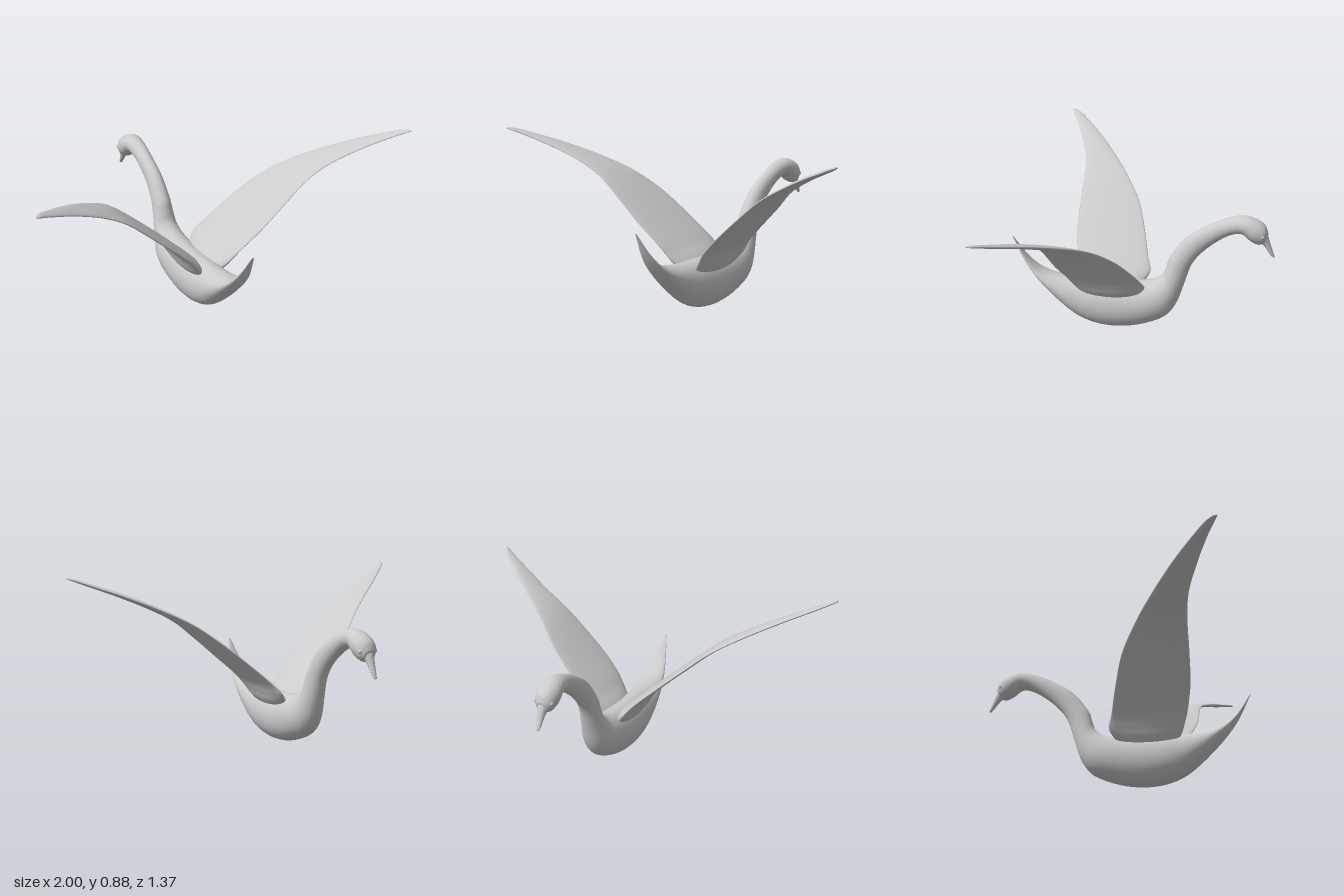
import * as THREE from 'three';

const V = (x, y, z) => new THREE.Vector3(x, y, z);
const material = new THREE.MeshStandardMaterial({ color: 0xcccccc });

// Smooth closed skin over elliptical sections { c: centre, u, v: half axes }.
function loft(sections, steps, sides) {
  const curve = key => new THREE.CatmullRomCurve3(sections.map(s => s[key]), false, 'catmullrom', 0.5);
  const [centres, us, vs] = [curve('c'), curve('u'), curve('v')];
  const position = [], index = [];
  for (let i = 0; i <= steps; i++) {
    const t = i / steps;
    const c = centres.getPoint(t), u = us.getPoint(t), v = vs.getPoint(t);
    for (let j = 0; j < sides; j++) {
      const a = (j / sides) * Math.PI * 2;
      const p = c.clone().addScaledVector(u, Math.cos(a)).addScaledVector(v, Math.sin(a));
      position.push(p.x, p.y, p.z);
    }
  }
  for (let i = 0; i < steps; i++) {
    for (let j = 0; j < sides; j++) {
      const k = (j + 1) % sides;
      const a = i * sides + j, b = i * sides + k;
      index.push(a, b, a + sides, b, b + sides, a + sides);
    }
  }
  // end caps
  const first = position.length / 3, last = steps * sides;
  position.push(...sections[0].c.toArray(), ...sections[sections.length - 1].c.toArray());
  for (let j = 0; j < sides; j++) {
    const k = (j + 1) % sides;
    index.push(first, k, j, first + 1, last + j, last + k);
  }
  const geometry = new THREE.BufferGeometry();
  geometry.setAttribute('position', new THREE.Float32BufferAttribute(position, 3));
  geometry.setIndex(index);
  geometry.computeVertexNormals();
  return geometry;
}

// Section from a top point, a bottom point (z, y each) and a half width.
const spineSection = ([tz, ty, bz, by, w]) => ({
  c: V(0, (ty + by) / 2, (tz + bz) / 2),
  u: V(0, (ty - by) / 2, (tz - bz) / 2),
  v: V(w, 0, 0),
});

// Tail tip to face: top z, top y, bottom z, bottom y, half width
const bodyProfile = [
  [0.686, 0.477, 0.68, 0.465, 0.006],
  [0.62, 0.378, 0.632, 0.365, 0.03],
  [0.56, 0.315, 0.585, 0.292, 0.05],
  [0.5, 0.285, 0.52, 0.213, 0.068],
  [0.42, 0.27, 0.43, 0.12, 0.083],
  [0.34, 0.264, 0.34, 0.048, 0.092],
  [0.25, 0.262, 0.25, 0.012, 0.1],
  [0.15, 0.262, 0.15, 0, 0.102],
  [0.05, 0.265, 0.04, 0.012, 0.1],
  [-0.03, 0.275, -0.07, 0.048, 0.095],
  [-0.08, 0.292, -0.14, 0.09, 0.084],
  [-0.117, 0.327, -0.19, 0.165, 0.068],
  [-0.135, 0.38, -0.225, 0.27, 0.056],
  [-0.155, 0.435, -0.262, 0.385, 0.048],
  [-0.235, 0.54, -0.315, 0.46, 0.042],
  [-0.338, 0.61, -0.385, 0.523, 0.04],
  [-0.437, 0.657, -0.455, 0.568, 0.043],
  [-0.52, 0.675, -0.514, 0.58, 0.052],
  [-0.585, 0.66, -0.56, 0.545, 0.059],
  [-0.63, 0.63, -0.6, 0.528, 0.05],
  [-0.647, 0.585, -0.625, 0.537, 0.03],
];

const beakProfile = [
  [-0.635, 0.605, -0.605, 0.54, 0.032],
  [-0.655, 0.55, -0.63, 0.518, 0.02],
  [-0.675, 0.49, -0.66, 0.476, 0.013],
  [-0.685, 0.462, -0.678, 0.458, 0.007],
];

// Root to tip: x, y, leading z, trailing z, half thickness
const wingProfile = [
  [0.03, 0.2, 0.03, 0.3, 0.04],
  [0.075, 0.25, -0.015, 0.335, 0.036],
  [0.105, 0.288, -0.032, 0.352, 0.026],
  [0.15, 0.342, -0.012, 0.372, 0.017],
  [0.25, 0.435, 0.02, 0.395, 0.014],
  [0.38, 0.55, 0.07, 0.402, 0.013],
  [0.5, 0.648, 0.15, 0.405, 0.012],
  [0.63, 0.722, 0.242, 0.423, 0.012],
  [0.78, 0.792, 0.355, 0.478, 0.011],
  [0.9, 0.84, 0.455, 0.53, 0.009],
  [0.97, 0.868, 0.52, 0.567, 0.007],
  [1.0, 0.878, 0.56, 0.583, 0.004],
];

function wingGeometry(side) {
  const last = wingProfile.length - 1;
  const sections = wingProfile.map(([x, y, lead, trail, thick], i) => {
    const a = wingProfile[Math.max(i - 1, 0)], b = wingProfile[Math.min(i + 1, last)];
    const up = V(-side * (b[1] - a[1]), b[0] - a[0], 0).setLength(thick);
    return { c: V(side * x, y, (lead + trail) / 2), u: up, v: V(0, 0, side * (trail - lead) / 2) };
  });
  return loft(sections, 55, 32);
}

export function createModel() {
  const model = new THREE.Group();
  model.name = 'flyingBird';
  const add = (name, geometry) => {
    const mesh = new THREE.Mesh(geometry, material);
    mesh.name = name;
    model.add(mesh);
    return mesh;
  };

  add('bodyNeckAndHead', loft(bodyProfile.map(spineSection), 100, 32));
  add('beak', loft(beakProfile.map(spineSection), 15, 16));

  for (const [side, label] of [[1, 'left'], [-1, 'right']]) {
    add(label + 'Wing', wingGeometry(side));
    add(label + 'Eye', new THREE.SphereGeometry(0.012, 16, 12)).position.set(side * 0.041, 0.583, -0.618);
  }
  return model;
}
